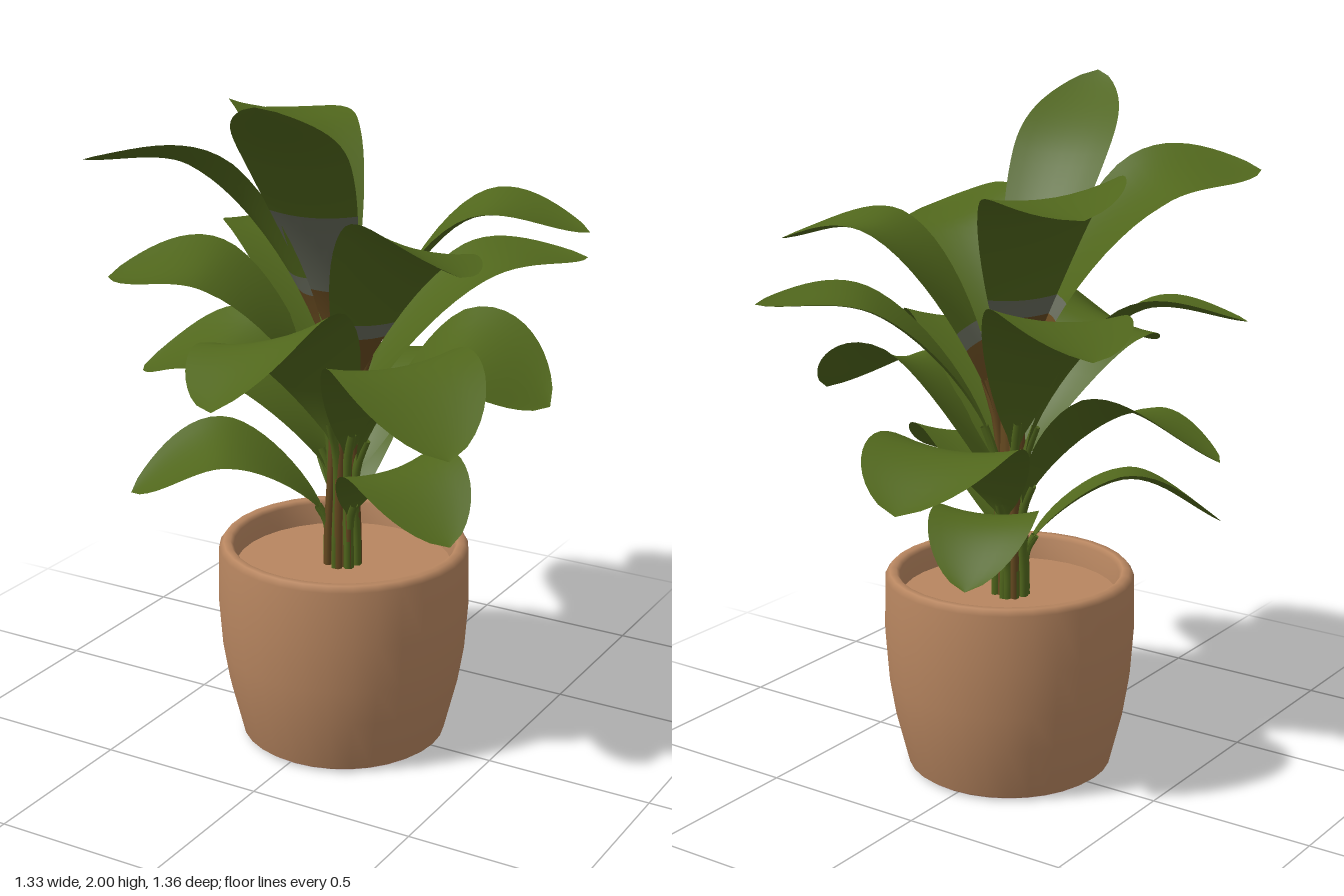
import * as THREE from 'three';

const mat = (name, color) => {
  const m = new THREE.MeshStandardMaterial({ color, side: THREE.DoubleSide });
  m.name = name;
  return m;
};

// Tiers of leaves; each leaf is: tip x, y, z, height of its middle, width, roll
const TALL_LEAF = [0.14, 2.0, 0.67, 1.77, 0.3, 0];
const TOP_TIER = [
  [-0.52, 1.77, 0.5, 1.73, 0.36, -0.25],
  [-0.53, 1.76, -0.45, 1.76, 0.38, -0.12],
  [0.6, 1.58, 0.45, 1.57, 0.35, 0.32],
  [0.66, 1.56, -0.22, 1.6, 0.36, 0],
];
const MIDDLE_TIER = [
  [-0.58, 1.41, -0.48, 1.44, 0.38, 0.1],
  [-0.61, 1.38, 0.28, 1.4, 0.37, 0.15],
  [0.55, 1.42, -0.47, 1.4, 0.37, 0],
  [0.0, 1.19, 0.68, 1.31, 0.45, -0.32],
  [0.62, 1.12, 0.53, 1.26, 0.4, -0.05],
];
const LOW_TIER = [
  [0.62, 1.09, -0.08, 1.21, 0.44, -0.25],
  [-0.67, 1.04, 0.03, 1.14, 0.37, 0.28],
  [-0.1, 0.97, -0.68, 1.07, 0.43, 0],
  [-0.51, 0.76, 0.34, 0.89, 0.3, 0.2],
  [0.54, 0.81, 0.36, 0.93, 0.32, -0.12],
  [-0.2, 0.73, -0.51, 0.87, 0.3, 0],
];

// Curved blade: cross-sections swept along the midrib, cupped and rolled
function bladeGeometry(curve, dir, width, tilt, brownEnd, greyEnd) {
  const rows = 24, cols = 8, start = 0.3;
  const side = new THREE.Vector3(-dir.z, 0, dir.x);
  const pos = [], index = [];
  const g = new THREE.BufferGeometry();
  for (let i = 0; i <= rows; i++) {
    const u = i / rows, t = start + (1 - start) * u;
    const p = curve.getPoint(t);
    const n = side.clone().cross(curve.getTangent(t)).normalize();
    const roll = tilt * Math.min(1, u * 2);
    const s = side.clone().multiplyScalar(Math.cos(roll)).addScaledVector(n, Math.sin(roll));
    const up = n.clone().multiplyScalar(Math.cos(roll)).addScaledVector(side, -Math.sin(roll));
    const swell = Math.pow(Math.max(0, Math.sin(Math.PI * Math.pow(u, 1.3))), 0.68);
    const half = Math.max(width / 2 * swell, 0.012 * (1 - u));
    for (let j = 0; j <= cols; j++) {
      const k = j / cols * 2 - 1;
      const q = p.clone().addScaledVector(s, k * half).addScaledVector(up, 0.14 * half * k * k);
      pos.push(q.x, q.y, q.z);
    }
  }
  for (let i = 0; i < rows; i++) {
    // Brown, then grey, then green from the neck outwards
    const u = i / rows;
    g.addGroup(index.length, cols * 6, u < brownEnd ? 1 : u < greyEnd ? 2 : 0);
    for (let j = 0; j < cols; j++) {
      const a = i * (cols + 1) + j, c = a + cols + 1;
      index.push(a, a + 1, c, a + 1, c + 1, c);
    }
  }
  g.setAttribute('position', new THREE.Float32BufferAttribute(pos, 3));
  g.setIndex(index);
  g.computeVertexNormals();
  return g;
}

export function createModel() {
  const clay = mat('clay', 0xb88660);
  const base = mat('pot underside', 0xad989c);
  const green = mat('leaf green', 0x50661c);
  const brown = mat('stem brown', 0x64481f);
  const grey = mat('leaf grey', 0x65695a);
  const root = new THREE.Group();
  root.name = 'pottedPlant';
  const add = (parent, geo, material, name) => {
    const m = new THREE.Mesh(geo, material);
    m.name = name;
    parent.add(m);
    return m;
  };

  // Pot with rounded rim, inner wall and filled top
  const pot = new THREE.Group();
  pot.name = 'pot';
  pot.position.set(0.015, 0, 0.012);
  root.add(pot);
  const profile = [[0.285, 0], [0.303, 0.012], [0.342, 0.17], [0.36, 0.28], [0.37, 0.42],
    [0.367, 0.59], [0.354, 0.607], [0.334, 0.607], [0.324, 0.595], [0.318, 0.525]]
    .map(([r, y]) => new THREE.Vector2(r, y));
  add(pot, new THREE.LatheGeometry(profile, 32), clay, 'potWall');
  add(pot, new THREE.CircleGeometry(0.32, 32).rotateX(-Math.PI / 2), clay, 'soil').position.y = 0.53;
  add(pot, new THREE.CircleGeometry(0.287, 32).rotateX(Math.PI / 2), base, 'potBottom');

  // Central stem
  add(root, new THREE.CylinderGeometry(0.025, 0.04, 0.78, 10).translate(0.01, 0.91, 0.01), brown, 'centralStem');

  // Leaves with their stalks; the neck where a blade starts follows the leaf's height
  const addLeaf = ([x, y, z, midY, width, roll], brownEnd, greyEnd) => {
    const dir = new THREE.Vector3(x, 0, z).normalize();
    const at = (r, h) => new THREE.Vector3(dir.x * r + 0.01, h, dir.z * r + 0.01);
    const curve = new THREE.CatmullRomCurve3([
      at(0.045, 0.52),
      at(0.06, 0.14 + 0.62 * midY),
      new THREE.Vector3(x * 0.55, midY, z * 0.55),
      new THREE.Vector3(x, y, z),
    ]);
    const leaf = new THREE.Group();
    leaf.name = 'leaf';
    root.add(leaf);
    add(leaf, bladeGeometry(curve, dir, width, roll, brownEnd, greyEnd), [green, brown, grey], 'blade');
    const stalk = Array.from({ length: 6 }, (_, i) => curve.getPoint(i * 0.072));
    add(leaf, new THREE.TubeGeometry(new THREE.CatmullRomCurve3(stalk), 12, 0.013, 6), brownEnd ? brown : green, 'stalk');
  };
  addLeaf(TALL_LEAF, 0.14, 0.36);
  TOP_TIER.forEach(leaf => addLeaf(leaf, 0.16, 0.2));
  [...MIDDLE_TIER, ...LOW_TIER].forEach(leaf => addLeaf(leaf, 0, 0));
  return root;
}
